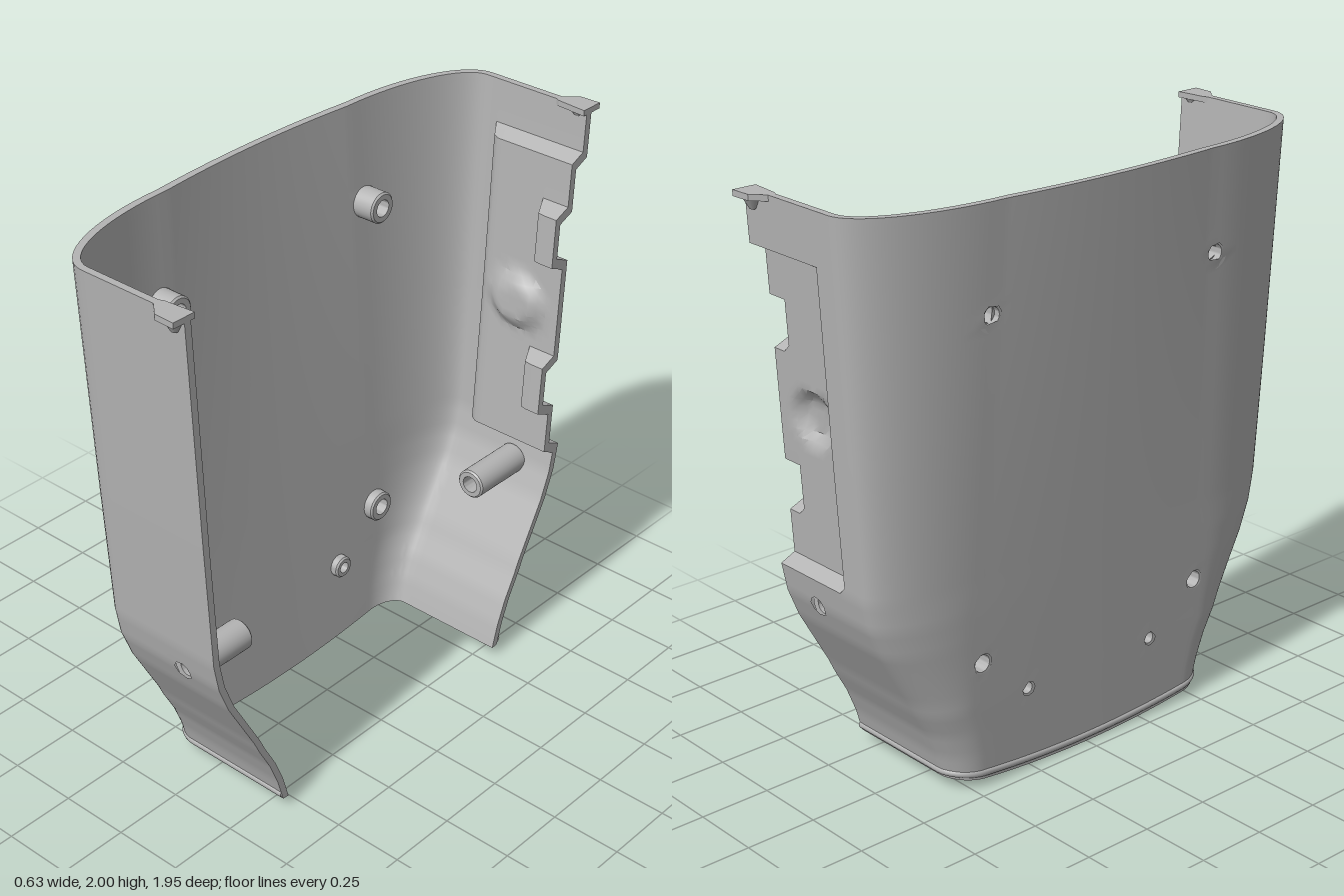
import * as THREE from 'three';
import { toCreasedNormals } from 'three/addons/utils/BufferGeometryUtils.js';

const SIDE = 16, CORNER = 16, HALF = 52, COLS = 104, ROWS = 80;
const clamp = THREE.MathUtils.clamp, lerp = THREE.MathUtils.lerp;

// piecewise linear lookup
function lookup(table, y) {
  for (let i = 1; i < table.length; i++) {
    const [y0, v0] = table[i - 1], [y1, v1] = table[i];
    if (y <= y1 || i === table.length - 1) return lerp(v0, v1, (y - y0) / (y1 - y0));
  }
}
// half width of the shell and depth of its rounded corner, by height
const halfWidth = y => lookup([[0, 0.56], [0.1, 0.585], [0.2, 0.62], [0.35, 0.69], [0.45, 0.745],
  [0.55, 0.8], [0.65, 0.84], [0.75, 0.86], [1.2, 0.888], [2, 0.932]], y);
const cornerDepth = y => lookup([[0, 0.11], [0.3, 0.16], [0.75, 0.38], [2, 0.5]], y);
const panelX = y => -0.2 - 0.0625 * y;

// bosses on the main panel: y, z, radius, bore
const panelBosses = [];
for (const s of [-1, 1]) {
  panelBosses.push([1.64, s * 0.475, 0.055, 0.03, -0.18], [0.46, s * 0.475, 0.055, 0.03, -0.165],
    [0.3, s * 0.275, 0.04, 0.02, -0.165]);
}
const POST = { x: 0.15, y: 0.645 };

// 1 inside the range, ramping to 0 just outside it
const band = (v, lo, hi, grow) => clamp(Math.min(v - lo + grow, hi + grow - v) / 0.025 + 0.001, 0, 1);

// inward depth of the latch recess, its two pockets and thumb dimple
function recess(x, y, inset) {
  const g = inset > 0 ? 0.025 : 0;
  const base = Math.min(band(y, 0.75, 1.825, g), clamp((x + 0.02 + g) / 0.03, 0, 1)) * 0.055;
  let pocket = 0;
  for (const [lo, hi] of [[0.925, 1.1], [1.475, 1.65]]) {
    pocket = Math.max(pocket, Math.min(band(y, lo, hi, g), clamp((x - 0.235 + g) / 0.025, 0, 1)) * 0.06);
  }
  const r = Math.hypot((x - 0.14) / (0.11 + g / 2), (y - 1.28) / (0.095 + g / 2));
  return base + pocket + 0.035 * clamp((1 - r) * 2.5, 0, 1);
}

// point on the shell; snapped is true on the edge of a screw hole
function shellPoint(i, j, inset) {
  const sign = i <= HALF ? -1 : 1, k = i <= HALF ? i : COLS - i;
  let y = 2 * j / ROWS, x, z, snapped = false;
  const w = halfWidth(y) - inset, a = panelX(y) + inset, cz = cornerDepth(y), bow = 0.01 * y;
  if (k <= SIDE) {
    x = 0.31 - 0.41 * k / SIDE;
    z = w;
  } else if (k <= SIDE + CORNER) {
    const t = (k - SIDE) / CORNER * Math.PI / 2;
    x = -0.1 - (-0.1 - a - bow) * Math.sin(t);
    z = w - cz + cz * Math.cos(t);
  } else {
    const f = 1 - (k - SIDE - CORNER) / (HALF - SIDE - CORNER);
    x = a + bow * f * f;
    z = (w - cz) * f;
  }
  z *= sign;
  // lower edge dips toward the middle
  if (y < 0.3) y += 0.04 * Math.min(1, (z / 0.55) ** 2) * (1 - y / 0.3);
  if (k <= SIDE) {
    const d = Math.hypot(x - POST.x, y - POST.y) || 1e-6;
    if (d < 0.046) {
      x = POST.x + (x - POST.x) * 0.035 / d;
      y = POST.y + (y - POST.y) * 0.035 / d;
      z = sign * (halfWidth(y) - inset);
      snapped = true;
    }
    if (sign < 0) z += recess(x, y, inset);
  } else {
    for (const [by, bz, , bore] of panelBosses) {
      const d = Math.hypot(y - by, z - bz) || 1e-6, R = bore + 0.006;
      if (d < R + 0.011) {
        y = by + (y - by) * R / d;
        z = bz + (z - bz) * R / d;
        snapped = true;
      }
    }
  }
  return { p: [x, y, z], snapped };
}

function shellGeometry() {
  const grid = inset => Array.from({ length: COLS + 1 }, (_, i) =>
    Array.from({ length: ROWS + 1 }, (_, j) => shellPoint(i, j, inset)));
  const out = grid(0), inn = grid(0.025), pos = [];
  const quad = (a, b, c, d, flip) => {
    if (a.snapped && b.snapped && c.snapped && d.snapped) return;
    for (const v of flip ? [a, c, b, a, d, c] : [a, b, c, a, c, d]) pos.push(...v.p);
  };
  for (let i = 0; i < COLS; i++) {
    for (let j = 0; j < ROWS; j++) {
      for (const g of [out, inn]) quad(g[i][j], g[i + 1][j], g[i + 1][j + 1], g[i][j + 1], g === inn);
    }
    for (const j of [0, ROWS]) quad(out[i][j], out[i + 1][j], inn[i + 1][j], inn[i][j], j === 0);
  }
  for (let j = 0; j < ROWS; j++) {
    for (const i of [0, COLS]) quad(out[i][j], out[i][j + 1], inn[i][j + 1], inn[i][j], i === COLS);
  }
  const geo = new THREE.BufferGeometry();
  geo.setAttribute('position', new THREE.Float32BufferAttribute(pos, 3));
  return toCreasedNormals(geo, 0.6);
}

// hollow cylinder standing on the origin along y
function sleeve(radius, bore, length) {
  const pts = [[bore, 0], [radius, 0], [radius, length - 0.006], [radius - 0.006, length], [bore, length], [bore, 0]];
  return toCreasedNormals(new THREE.LatheGeometry(pts.map(p => new THREE.Vector2(...p)), 28), 0.6);
}

export function createModel() {
  const group = new THREE.Group();
  const grey = new THREE.MeshStandardMaterial({ color: 0xb4b4b4, side: THREE.DoubleSide });
  grey.name = 'grey plastic';
  const add = (name, geo) => {
    const mesh = new THREE.Mesh(geo, grey);
    mesh.name = name;
    group.add(mesh);
    return mesh;
  };

  add('shell', shellGeometry());

  // screw bosses on the main panel
  for (const [y, z, radius, bore, tip] of panelBosses) {
    const start = panelX(y) + (y > 1 ? 0.02 : 0.008);
    const boss = add('screwBoss', sleeve(radius, bore, tip - start));
    boss.rotation.z = -Math.PI / 2;
    boss.position.set(start, y, z);
  }

  for (const s of [-1, 1]) {
    // long posts reaching in from the side walls
    const start = halfWidth(POST.y) - 0.022;
    const post = add('sidePost', sleeve(0.053, 0.03, start - 0.575));
    post.rotation.x = -s * Math.PI / 2;
    post.position.set(POST.x, POST.y, s * start);

    // hooked tabs at the top corners
    const tab = new THREE.Shape([[0.17, 0.915], [0.2, 0.94], [0.235, 0.972], [0.31, 0.975], [0.31, 0.89], [0.2, 0.9]]
      .map(([x, z]) => new THREE.Vector2(x, -s * z)));
    const mesh = add('topTab', new THREE.ExtrudeGeometry(tab, { depth: 0.02, bevelEnabled: false }));
    mesh.rotation.x = -Math.PI / 2;
    mesh.position.y = 1.98;
    const hook = add('tabGusset', new THREE.CylinderGeometry(0.035, 0.012, 0.04, 16));
    hook.position.set(0.27, 1.962, s * 0.93);
  }

  // raised lip around the bottom edge
  const path = [];
  for (let i = 0; i <= COLS; i += 2) path.push(new THREE.Vector3(...shellPoint(i, 1, 0.006).p));
  add('bottomLip', new THREE.TubeGeometry(new THREE.CatmullRomCurve3(path), 120, 0.014, 8, false));

  return group;
}
